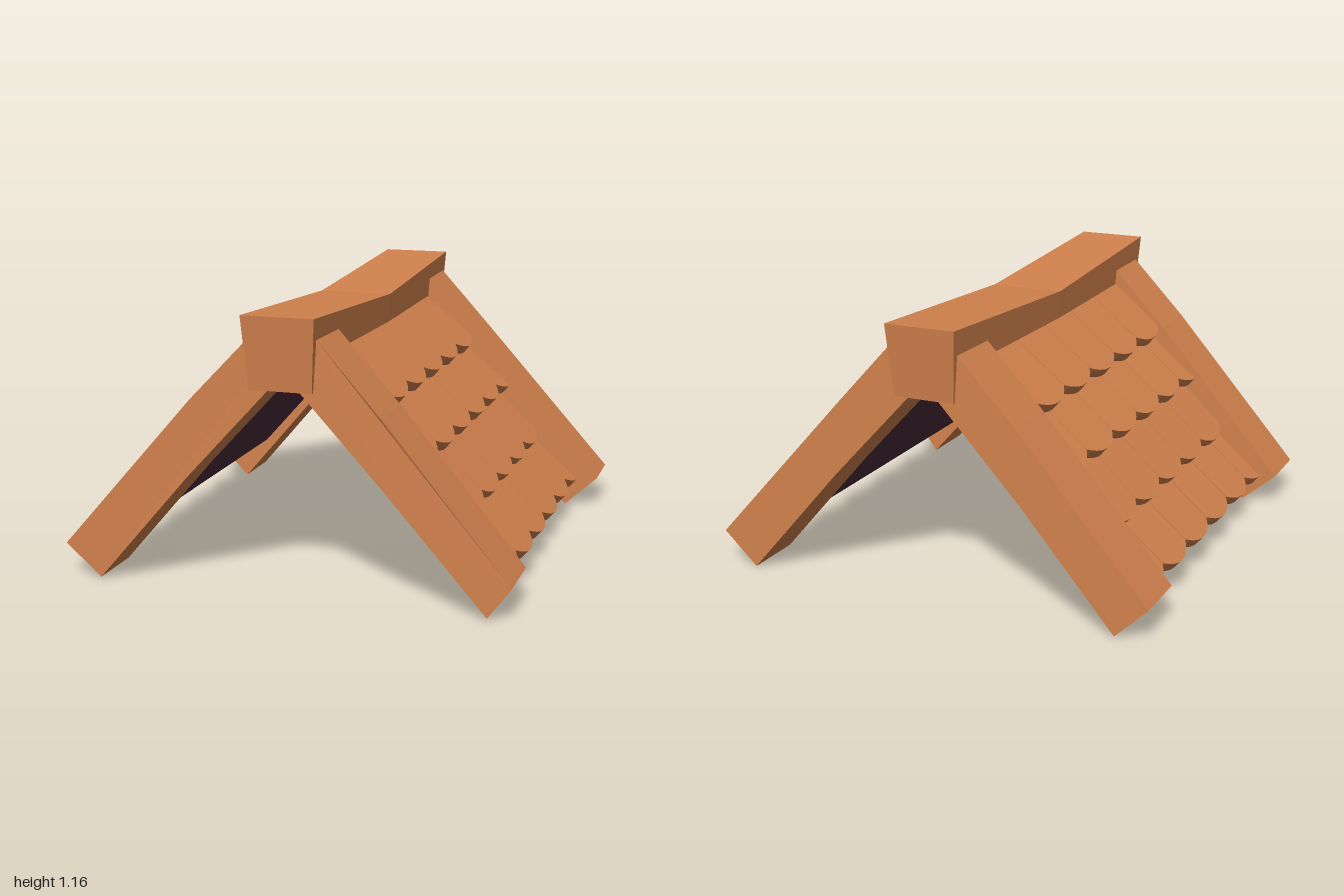
import * as THREE from 'three';

const wood = new THREE.MeshStandardMaterial({ color: 0xd2824d, flatShading: true });
wood.name = 'warm wood';
const lining = new THREE.MeshStandardMaterial({ color: 0x4e2c3c, side: THREE.DoubleSide });
lining.name = 'dark lining';

const TILE_W = 0.277, TILE_T = 0.045, ARC = 0.046;

function named(geometry, material, name) {
  const mesh = new THREE.Mesh(geometry, material);
  mesh.name = name;
  return mesh;
}

// Sagging ridge beam: tapered rectangular sections joined in a loop
function ridgeBeam() {
  // z of top, z of bottom, top y, bottom y, left x, right x
  const sections = [
    [1, 0.97, 1.16, 0.86, -0.16, 0.143],
    [0, 0, 1.103, 0.787, -0.167, 0.15],
    [-1, -0.97, 1.16, 0.86, -0.16, 0.143],
  ];
  const pos = [], index = [];
  for (const [zt, zb, yt, yb, l, r] of sections) {
    pos.push(l, yt, zt, r, yt, zt, r - 0.02, yb, zb, l + 0.02, yb, zb);
  }
  for (let s = 0; s < sections.length - 1; s++) {
    for (let i = 0; i < 4; i++) {
      const a = s * 4 + i, b = s * 4 + (i + 1) % 4;
      index.push(a, b, b + 4, a, b + 4, a + 4);
    }
  }
  const e = (sections.length - 1) * 4;
  index.push(0, 3, 2, 0, 2, 1, e, e + 1, e + 2, e, e + 2, e + 3);
  const g = new THREE.BufferGeometry();
  g.setAttribute('position', new THREE.Float32BufferAttribute(pos, 3));
  g.setIndex(index);
  const flat = g.toNonIndexed();
  flat.computeVertexNormals();
  return named(flat, wood, 'ridgeBeam');
}

// Slightly crooked gable board, extruded from its front outline
function gableBoard(side, zBack, depth, end, mid, skew, name) {
  const outline = [[0, 1.08], [0.13, 1.08], mid, end[0], end[1], [0.42, 0.475], [0, 0.93]];
  const shape = new THREE.Shape(outline.map(([x, y]) => new THREE.Vector2(side * x, y)));
  const g = new THREE.ExtrudeGeometry(shape, { depth, bevelEnabled: false });
  const p = g.attributes.position;
  for (let i = 0; i < p.count; i++) {
    p.setZ(i, p.getZ(i) + zBack + skew * Math.max(0, Math.abs(p.getX(i)) - 0.4));
  }
  g.computeVertexNormals();
  return named(g, wood, name);
}

// Shingle outline: straight sides and a shallow rounded lower edge
function shingleShape(length, gap) {
  const w = (TILE_W - gap) / 2;
  const s = new THREE.Shape();
  s.moveTo(-w, 0);
  s.lineTo(w, 0);
  s.lineTo(w, length - ARC);
  s.quadraticCurveTo(w * 0.55, length, 0, length);
  s.quadraticCurveTo(-w * 0.55, length, -w, length - ARC);
  s.closePath();
  return s;
}

// One roof slope falling toward +x; shifts slide each course along the ridge
function roofSlope(name, shifts) {
  const slope = new THREE.Group();
  slope.name = name;
  // top surface of each course: upper x, y and lower tip x, y, then joint width
  const courses = [
    [0.1, 1.02, 0.393, 0.785, 0.006],
    [0.28, 0.8, 0.555, 0.57, 0.006],
    [0.44, 0.595, 0.717, 0.335, 0.006],
    [0.62, 0.365, 0.895, 0.13, 0.01],
  ];
  courses.forEach(([x0, y0, x1, y1, gap], row) => {
    const course = new THREE.Group();
    course.name = 'shingleCourse' + (row + 1);
    const down = new THREE.Vector3(x1 - x0, y1 - y0, 0);
    const shape = shingleShape(down.length(), gap);
    down.normalize();
    const across = new THREE.Vector3(0, 0, 1);
    const out = new THREE.Vector3().crossVectors(across, down);
    const body = new THREE.ExtrudeGeometry(shape, { depth: TILE_T, bevelEnabled: false, curveSegments: 5 });
    body.translate(0, 0, -TILE_T);
    const under = new THREE.ShapeGeometry(shape, 5);
    under.translate(0, 0, -TILE_T - 0.002);
    const basis = new THREE.Matrix4().makeBasis(across, down, out);
    for (const g of [body, under]) g.applyMatrix4(basis).translate(x0, y0, 0);
    // alternate courses are shifted by half a shingle
    const count = row % 2 ? 6 : 5;
    for (let i = 0; i < count; i++) {
      const z = (i - (count - 1) / 2) * TILE_W + shifts[row];
      const tile = named(body, wood, 'shingle');
      const back = named(under, lining, 'shingleUnderside');
      tile.position.z = back.position.z = z;
      course.add(tile, back);
    }
    slope.add(course);
  });

  // Thin deck under the shingles: wood above, dark lining below
  const a = new THREE.Vector2(0.06, 0.92), b = new THREE.Vector2(0.7, 0.2);
  const deck = new THREE.PlaneGeometry(a.distanceTo(b), 1.44);
  deck.rotateX(-Math.PI / 2).rotateZ(Math.atan2(b.y - a.y, b.x - a.x));
  deck.translate((a.x + b.x) / 2, (a.y + b.y) / 2, 0);
  const deckTop = named(deck, wood, 'deckTop');
  deckTop.position.y = 0.006;
  slope.add(deckTop, named(deck, lining, 'innerLining'));
  return slope;
}

export function createModel() {
  const model = new THREE.Group();
  model.name = 'gableRoof';
  model.add(ridgeBeam());

  const leftSlope = roofSlope('leftSlope', [0.007, -0.005, -0.007, -0.016]);
  const rightSlope = roofSlope('rightSlope', [0, 0, 0, 0]);
  rightSlope.rotation.y = Math.PI;
  leftSlope.position.x = rightSlope.position.x = -0.01;
  model.add(leftSlope, rightSlope);

  model.add(
    gableBoard(1, 0.69, 0.265, [[0.92, 0.14], [0.825, 0.01]], [0.4, 0.775], -0.035, 'frontLeftGableBoard'),
    gableBoard(-1, 0.69, 0.26, [[0.98, 0.14], [0.825, 0.005]], [0.4, 0.8], -0.01, 'frontRightGableBoard'),
    gableBoard(1, -0.96, 0.26, [[0.98, 0.14], [0.83, 0]], [0.4, 0.785], 0, 'backLeftGableBoard'),
    gableBoard(-1, -0.96, 0.26, [[0.96, 0.14], [0.82, 0.005]], [0.4, 0.79], 0, 'backRightGableBoard'),
  );
  return model;
}
